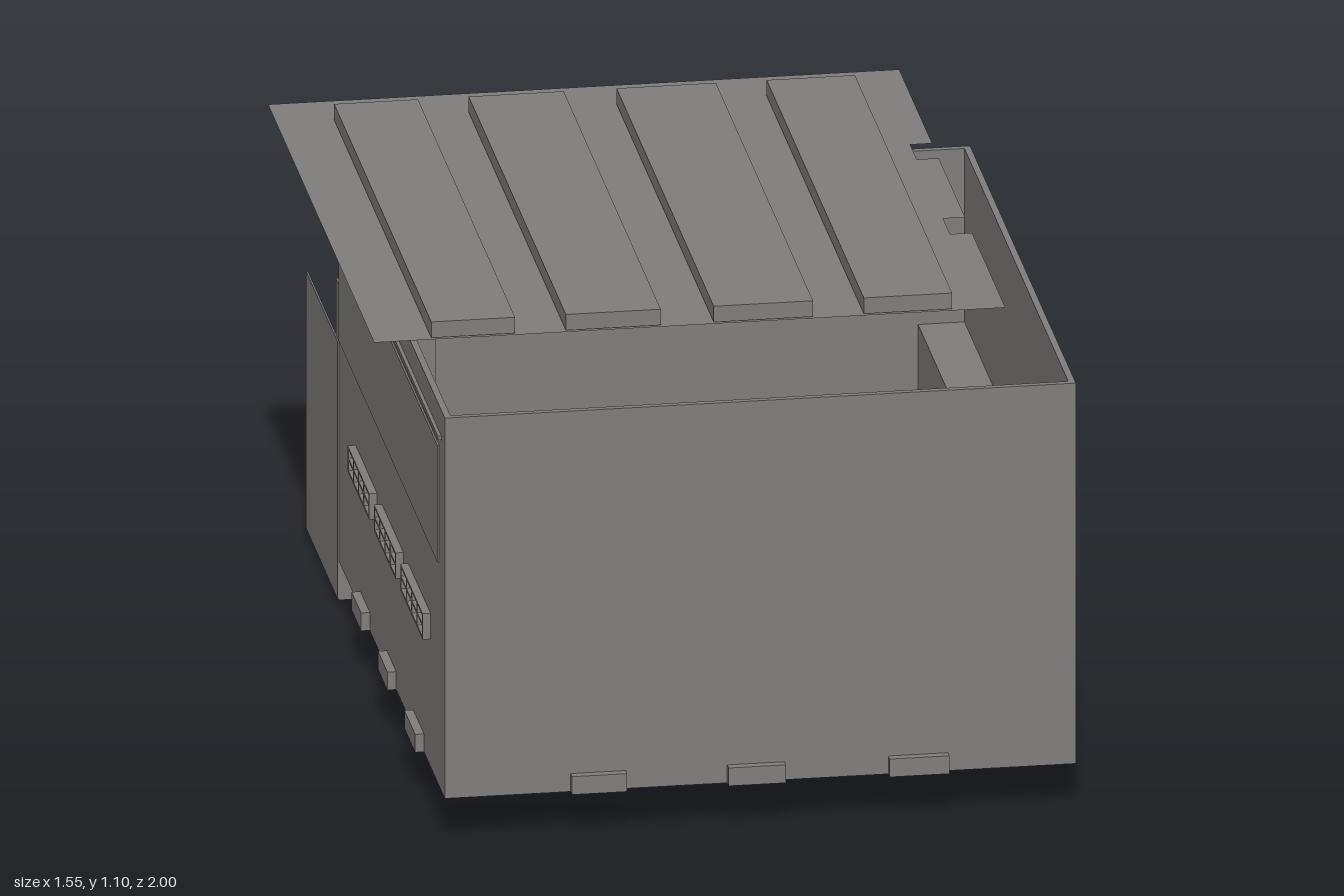
import * as THREE from 'three';

export function createModel() {
  const group = new THREE.Group();
  const grey = new THREE.MeshStandardMaterial({ color: 0x807e7b, side: THREE.DoubleSide });
  grey.name = 'warm grey';

  const add = (name, geometry) => {
    const mesh = new THREE.Mesh(geometry, grey);
    mesh.name = name;
    group.add(mesh);
    return mesh;
  };
  // box given by its extents on each axis
  const box = (name, x0, x1, y0, y1, z0, z1) =>
    add(name, new THREE.BoxGeometry(x1 - x0, y1 - y0, z1 - z0)
      .translate((x0 + x1) / 2, (y0 + y1) / 2, (z0 + z1) / 2));
  const rect = (target, x0, x1, y0, y1) => {
    target.moveTo(x0, y0);
    target.lineTo(x1, y0);
    target.lineTo(x1, y1);
    target.lineTo(x0, y1);
    target.closePath();
    return target;
  };

  // open-topped cabin
  const L = -0.68, R = 0.75, F = 0.98, B = -0.545, Y0 = 0.105, Y1 = 1.015, T = 0.015;
  box('floor', L, R, Y0, Y0 + 0.01, B, F);
  box('frontWall', L, R, Y0, Y1, F - T, F);
  box('backWall', L, R, Y0, Y1, B, B + T);
  box('rightWall', R - T, R, Y0, Y1, B + T, F - T);

  // side wall pierced by three window rows
  const windows = [[-0.30, 0.0], [0.08, 0.38], [0.46, 0.77]];
  const wall = rect(new THREE.Shape(), B + T, F - T, Y0, Y1);
  for (const [a, b] of windows) wall.holes.push(rect(new THREE.Path(), a, b, 0.415, 0.47));
  add('windowWall', new THREE.ExtrudeGeometry(wall, { depth: T, bevelEnabled: false })
    .rotateY(-Math.PI / 2).translate(L + T, 0, 0));
  for (const [a, b] of windows) {
    for (const y of [0.41, 0.44, 0.466]) box('windowRail', L - 0.018, L, y, y + 0.006, a, b);
    for (let i = 0; i <= 4; i++) {
      const z = a + (b - a) * i / 4;
      box('windowMullion', L - 0.018, L, 0.41, 0.472, z - 0.005, z + 0.005);
    }
  }

  // long side panels with rails above
  box('rightPanel', R, R + 0.004, 0.64, 0.92, -0.525, 0.9);
  box('rightRail', R - 0.015, R + 0.008, 0.944, 0.954, -0.525, 0.93);
  box('leftPanel', L - 0.004, L, 0.64, 0.92, -0.525, 0.9);
  box('leftRail', L - 0.008, L, 0.944, 0.954, -0.525, 0.93);
  box('handle', R, R + 0.012, 0.415, 0.425, 0.33, 0.45);

  // inner cabinets
  box('leftCabinet', L + T, -0.56, Y0, 0.6, B + T, F - T);
  box('rightCabinet', 0.63, R - T, Y0, 0.6, B + T, F - T);
  box('tallCupboard', L + T, -0.5, Y0, 0.98, B + T, -0.3);

  // roof sheet with edge notches
  const sheet = new THREE.Shape();
  [[-0.78, -0.6], [0.65, -0.6], [0.65, -0.12], [0.6, -0.12], [0.6, -0.02], [0.65, -0.02],
    [0.65, 0.36], [0.6, 0.36], [0.6, 0.455], [0.65, 0.455], [0.65, 0.93], [-0.78, 0.93]]
    .forEach(([x, y], i) => (i ? sheet.lineTo(x, y) : sheet.moveTo(x, y)));
  add('roofSheet', new THREE.ShapeGeometry(sheet).rotateX(-Math.PI / 2).translate(0, 1.06, 0));
  for (const [a, b] of [[-0.65, -0.46], [-0.345, -0.13], [-0.01, 0.215], [0.33, 0.53]])
    box('roofRib', a, b, 1.062, 1.1, -0.805, 0.595);

  // rear wings with side panels
  box('rightWing', 0.33, R, Y0, 0.535, -0.93, B);
  box('leftWing', L, -0.38, Y0, 0.36, -0.93, B);
  for (const x of [0.33, L]) box('wingPanel', x - 0.003, x + 0.001, 0.015, 0.63, -1, B);
  box('leftSkirt', L, -0.375, 0.012, Y0, B - 0.004, B);
  box('rightBracket', 0.63, R, 0.535, 0.765, -0.59, B);
  box('leftBracket', L, -0.55, 0.4, 0.765, -0.59, B);
  box('backDoor', 0.2, 0.33, 0.12, 0.36, B - 0.008, B);

  // slanted plate above the right wing
  const plate = new THREE.Shape();
  [[0.53, 0.53], [0.53, 0.93], [0.27, 0.84], [0.27, 0.63], [0.33, 0.53]]
    .forEach(([x, y], i) => (i ? plate.lineTo(x, y) : plate.moveTo(x, y)));
  add('slantedPlate', new THREE.ShapeGeometry(plate).translate(0, 0, -0.925));

  // blocks along the bottom edge
  for (const [a, b] of [[-0.395, -0.27], [-0.04, 0.09], [0.325, 0.46]])
    box('frontBlock', a, b, Y0, 0.148, F, 1);
  for (const [a, b] of [[0.525, 0.68], [0.145, 0.28], [-0.235, -0.1], [-0.605, -0.485]]) {
    box('rightBlock', R, R + 0.02, Y0, 0.148, a, b);
    if (a > -0.5) box('leftBlock', L - 0.02, L, Y0, 0.148, a, b);
  }
  box('backBlock', 0.475, 0.585, Y0, 0.148, -0.95, -0.93);

  // machinery under the floor
  box('gearBox', -0.115, 0.07, 0, Y0, -0.028, 0.028);
  for (const z of [-0.09, -0.04, 0.06, 0.11])
    box('crossRod', -0.09, 0.1, 0.075, 0.087, z - 0.006, z + 0.006);
  for (const x of [-0.08, 0, 0.09])
    box('longRod', x - 0.006, x + 0.006, 0.085, 0.1, -0.1, 0.155);
  for (const [x, z] of [[-0.08, -0.05], [0.08, -0.05], [-0.08, 0.06], [0.08, 0.06]])
    add('strut', new THREE.CylinderGeometry(0.007, 0.007, 0.06, 8).translate(x, 0.075, z));
  box('underPeg', -0.16, -0.145, 0.06, Y0, 0.24, 0.27);
  box('underPeg', 0.12, 0.135, 0.085, Y0, 0.05, 0.08);

  return group;
}
